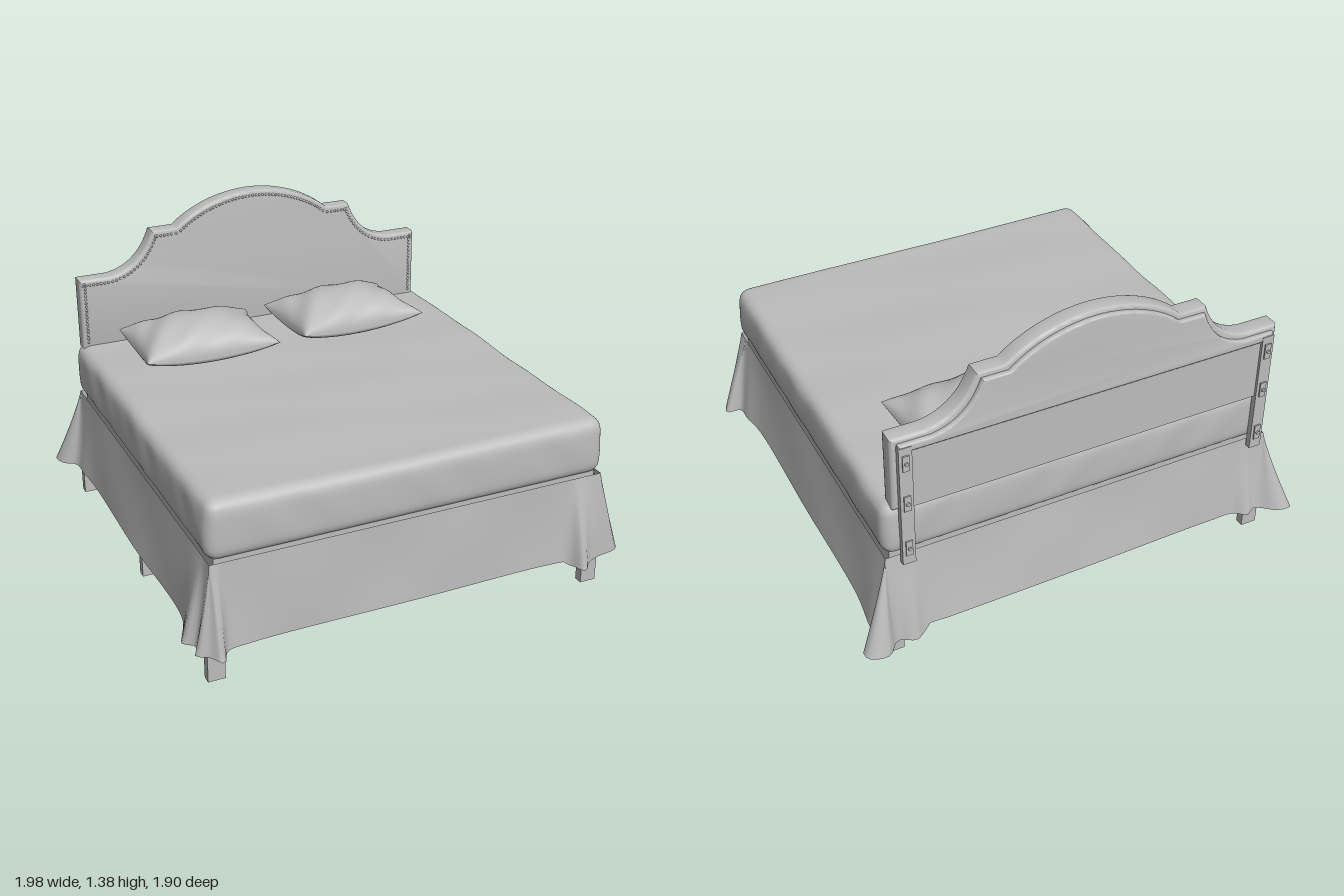
import * as THREE from 'three';
import { mergeGeometries, mergeVertices, toCreasedNormals } from 'three/addons/utils/BufferGeometryUtils.js';

const grey = new THREE.MeshStandardMaterial({ color: 0xbcbcbc, side: THREE.DoubleSide });
grey.name = 'warm grey';

export function createModel() {
  const bed = new THREE.Group();
  bed.name = 'bed';

  const add = (name, geometry, x = 0, y = 0, z = 0) => {
    const mesh = new THREE.Mesh(geometry, grey);
    mesh.name = name;
    mesh.position.set(x, y, z);
    bed.add(mesh);
    return mesh;
  };
  // box given by its extents on each axis
  const block = (name, x0, x1, y0, y1, z0, z1) =>
    add(name, new THREE.BoxGeometry(x1 - x0, y1 - y0, z1 - z0), (x0 + x1) / 2, (y0 + y1) / 2, (z0 + z1) / 2);
  // move every vertex by a rule, then smooth
  const reshape = (geometry, rule) => {
    geometry.deleteAttribute('uv');
    geometry.deleteAttribute('normal');
    const g = mergeVertices(geometry, 1e-5);
    const p = g.attributes.position;
    const v = new THREE.Vector3();
    for (let i = 0; i < p.count; i++) {
      rule(v.fromBufferAttribute(p, i));
      p.setXYZ(i, v.x, v.y, v.z);
    }
    g.computeVertexNormals();
    return g;
  };

  // ---- Mattress: rounded box with soft sheet folds ----
  const half = new THREE.Vector3(0.865, 0.125, 0.848);
  const radius = 0.05;
  const dense = (u, h) => Math.sign(u) * h * (1 - Math.pow(1 - Math.abs(u), 1.6));
  const core = new THREE.Vector3();
  const limit = half.clone().subScalar(radius);
  add('mattress', reshape(new THREE.BoxGeometry(2, 2, 2, 72, 14, 72), (v) => {
    v.set(dense(v.x, half.x), dense(v.y, half.y), dense(v.z, half.z));
    core.copy(v).clamp(limit.clone().negate(), limit);
    v.sub(core);
    if (v.lengthSq() > 1e-9) v.setLength(radius);
    v.add(core);
    const belly = Math.max(0, 1 - Math.pow(v.y / half.y, 2));
    const fold = (s) => belly * (0.008 + 0.004 * Math.sin(s * 23 + v.y * 14) * Math.sin(s * 5 + 1));
    if (Math.abs(v.x) > limit.x) v.x += Math.sign(v.x) * fold(v.z);
    if (Math.abs(v.z) > limit.z) v.z += Math.sign(v.z) * fold(v.x) * 0.7;
    if (v.y > limit.y) v.y += 0.003 * Math.sin(v.x * 4 + v.z * 7) + 0.002 * Math.sin(v.z * 15 - v.x * 3);
  }), -0.008, 0.633, 0);

  // ---- Pillows: two domed sheets meeting at a seam with pointed corners ----
  const pillow = (name, x, z, hx, hz, turn) => {
    const sheets = [1, -1].map((side) => {
      const g = new THREE.PlaneGeometry(2, 2, 28, 28);
      g.rotateX(-side * Math.PI / 2);
      return reshape(g, (v) => {
        const u = Math.sin(v.x * Math.PI / 2), w = Math.sin(v.z * Math.PI / 2);
        const a = 1 - u * u, b = 1 - w * w;
        const dome = Math.pow(Math.max(0, a * b), 0.45);
        const seam = 0.035 + 0.035 * u * u * w * w;
        const crease = 0.006 * Math.sin(u * 9 + w * 5) * a * b * (1 - a * b) * 4;
        v.set(u * hx * (1 - 0.07 * b), seam + (side > 0 ? 0.145 * dome + crease : -0.045 * dome), w * hz * (1 - 0.1 * a));
      });
    });
    add(name, mergeGeometries(sheets), x, 0.762, z).rotation.y = turn;
  };
  pillow('rightPillow', -0.4, -0.505, 0.307, 0.215, -0.02);
  pillow('leftPillow', 0.325, -0.53, 0.307, 0.215, 0.05);

  // ---- Bed skirt: lofted from a straight top edge to a flared hem ----
  const hem = [
    [0, 0.865], [0.62, 0.865], [0.71, 0.88], [0.75, 0.95], [0.8, 0.9], [0.86, 0.875], [0.97, 0.85],
    [0.985, 0.8], [0.92, 0.79], [0.915, 0.72], [0.895, 0.6], [0.895, 0],
    [0.895, -0.6], [0.915, -0.77], [0.92, -0.84], [0.985, -0.88], [0.98, -0.93], [0.9, -0.95], [0.84, -0.89],
    [0.77, -0.92], [0.72, -0.89], [0.6, -0.89], [0, -0.885],
    [-0.6, -0.875], [-0.74, -0.88], [-0.79, -0.915], [-0.84, -0.89], [-0.93, -0.95], [-0.99, -0.95],
    [-0.97, -0.88], [-0.92, -0.84], [-0.915, -0.75], [-0.905, -0.6], [-0.91, 0],
    [-0.905, 0.6], [-0.95, 0.72], [-0.965, 0.76], [-0.92, 0.8], [-0.945, 0.86], [-0.9, 0.89],
    [-0.86, 0.95], [-0.82, 0.88], [-0.72, 0.865], [-0.6, 0.86],
  ].map(([x, z]) => new THREE.Vector3(x, 0, z));
  const hemLine = new THREE.CatmullRomCurve3(hem, true, 'centripetal').getSpacedPoints(320);
  const rows = 10, ring = hemLine.length;
  const position = [], index = [];
  for (let r = 0; r <= rows; r++) {
    const t = r / rows, k = Math.pow(t, 1.15);
    hemLine.forEach((p) => {
      const tx = THREE.MathUtils.clamp(p.x, -0.872, 0.858);
      const tz = THREE.MathUtils.clamp(p.z, -0.845, 0.848);
      const low = 0.135 - (p.x > 0.7 ? 0.015 : 0) - (p.x > 0.7 && p.z < -0.8 ? 0.015 : 0);
      const wave = 0.004 * Math.sin(Math.PI * t) * Math.sin(p.x * 9 + p.z * 7);
      position.push(tx + (p.x - tx) * k + wave * Math.sign(p.x), 0.51 + (low - 0.51) * t, tz + (p.z - tz) * k + wave * Math.sign(p.z));
    });
  }
  for (let r = 0; r < rows; r++) {
    for (let i = 0; i < ring - 1; i++) {
      const a = r * ring + i, b = a + ring;
      index.push(a, b, a + 1, a + 1, b, b + 1);
    }
  }
  const skirt = new THREE.BufferGeometry();
  skirt.setAttribute('position', new THREE.Float32BufferAttribute(position, 3));
  skirt.setIndex(index);
  skirt.computeVertexNormals();
  add('bedSkirt', skirt);

  // ---- Headboard: arched outline with stepped shoulders ----
  const outline = new THREE.Path();
  outline.moveTo(0.84, 0.74);
  outline.lineTo(0.84, 1.07);
  outline.lineTo(0.7, 1.07);
  outline.quadraticCurveTo(0.55, 1.09, 0.49, 1.255);
  outline.lineTo(0.375, 1.255);
  outline.bezierCurveTo(0.28, 1.335, 0.14, 1.385, 0, 1.385);
  outline.bezierCurveTo(-0.14, 1.385, -0.28, 1.335, -0.375, 1.255);
  outline.lineTo(-0.49, 1.255);
  outline.quadraticCurveTo(-0.55, 1.09, -0.7, 1.07);
  outline.lineTo(-0.84, 1.07);
  outline.lineTo(-0.84, 0.74);
  const edge = outline.getPoints(16);
  const slab = (points, depth, bevel) => toCreasedNormals(new THREE.ExtrudeGeometry(new THREE.Shape(points), {
    depth: depth - 2 * bevel, bevelSize: bevel, bevelThickness: bevel, bevelOffset: -bevel, bevelSegments: 3,
  }).translate(0, 0, bevel), 0.7);
  const headX = -0.018;
  add('headboard', slab(edge, 0.08, 0.014), headX, 0, -0.855);

  // row of upholstery nails set in from the edge
  const dots = outline.getSpacedPoints(150);
  const nails = [];
  for (let i = 2; i < dots.length - 2; i++) {
    const t = dots[i + 1].clone().sub(dots[i - 1]).normalize();
    nails.push(new THREE.SphereGeometry(0.0065, 6, 4).translate(dots[i].x - t.y * 0.024, dots[i].y + t.x * 0.024, 0));
  }
  add('nailTrim', mergeGeometries(nails), headX, 0, -0.776);

  // padded back panels and the strap posts that hold the headboard
  const upper = edge.map((p) => new THREE.Vector2(p.x * 0.97, Math.max(p.y - 0.02, 1.015)));
  add('upperBackPanel', slab(upper, 0.03, 0.008), headX, 0, -0.876);
  block('lowerBackPanel', headX - 0.815, headX + 0.815, 0.745, 1.01, -0.866, -0.85);
  for (const s of [-1, 1]) {
    const x = headX + s * 0.79;
    block('headboardPost', x - 0.027, x + 0.027, 0.48, 1.04, -0.878, -0.852);
    for (const y of [0.56, 0.78, 0.97]) {
      block('postPlate', x - 0.014, x + 0.014, y - 0.035, y + 0.035, -0.884, -0.878);
      add('postBolt', new THREE.CylinderGeometry(0.008, 0.008, 0.008, 10).rotateX(Math.PI / 2), x, y, -0.887);
    }
  }

  // ---- Base: box, rails, slats and centre beam ----
  block('boxBase', -0.85, 0.835, 0.21, 0.52, -0.825, 0.83);
  for (const x of [-0.85, 0.82]) block('sideRail', x - 0.02, x + 0.02, 0.145, 0.23, -0.83, 0.84);
  for (const z of [-0.82, 0.835]) block('endRail', -0.865, 0.84, 0.145, 0.23, z - 0.015, z + 0.015);
  for (let i = 0; i < 13; i++) {
    const z = -0.75 + i * 0.126;
    block('slat', -0.83, 0.8, 0.185, 0.21, z - 0.05, z + 0.05);
  }
  block('centreBeam', -0.87, 0.84, 0.13, 0.185, -0.012, 0.038);

  // ---- Legs ----
  for (const x of [-0.862, 0.83]) {
    for (const z of [-0.82, 0.84]) block('cornerLeg', x - 0.036, x + 0.036, 0, 0.2, z - 0.019, z + 0.019);
    block('sideLeg', x - 0.024, x + 0.024, 0, 0.16, -0.006, 0.032);
  }
  block('centreLeg', 0, 0.045, 0, 0.16, -0.006, 0.032);

  return bed;
}
